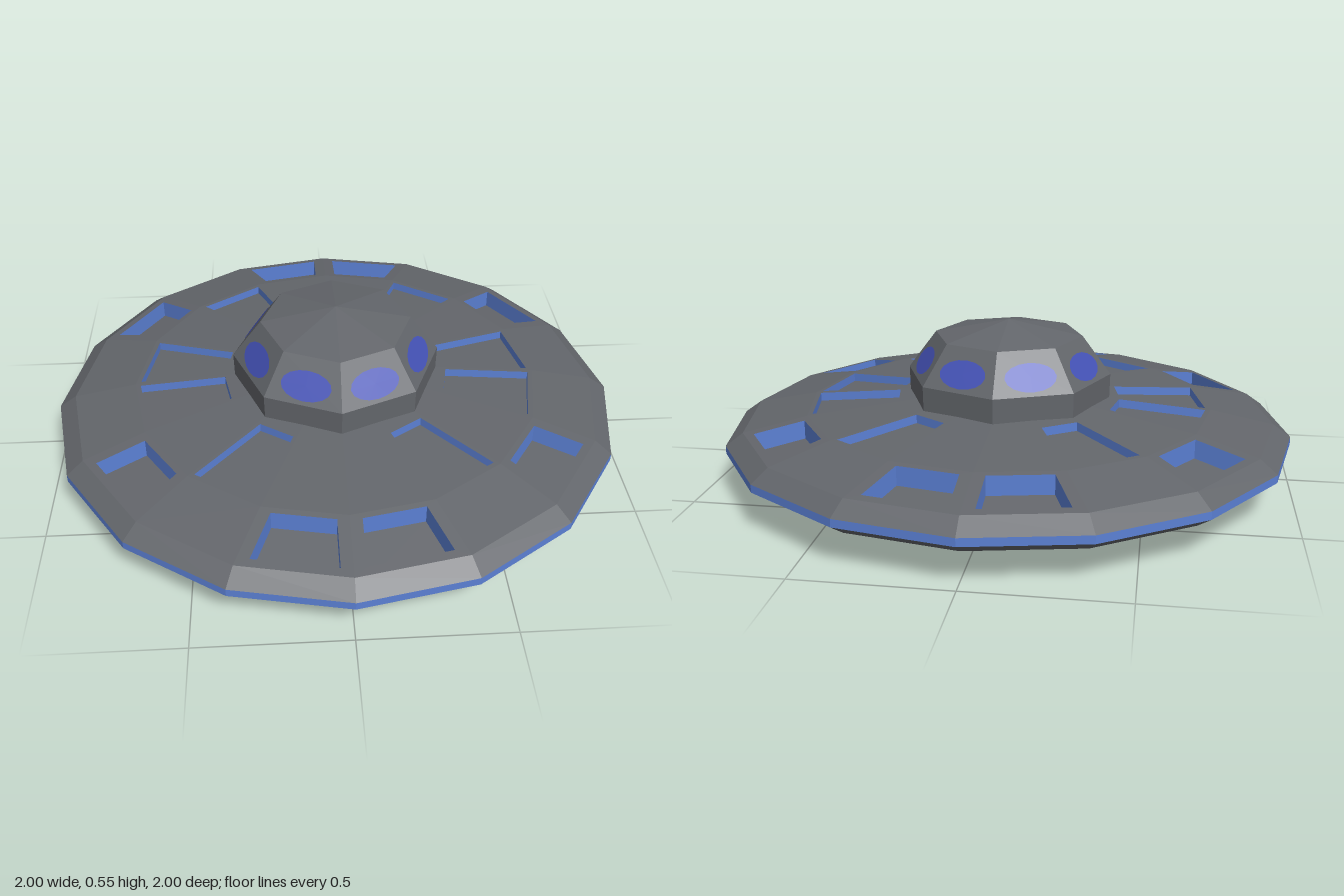
import * as THREE from 'three';

const SIDES = 16;

export function createModel() {
  const hullGrey = new THREE.MeshStandardMaterial({ color: 0x63666b });
  const trimBlue = new THREE.MeshStandardMaterial({ color: 0x5b80d4 });
  const windowBlue = new THREE.MeshStandardMaterial({ color: 0x4452b6 });
  const model = new THREE.Group();

  const add = (name, geometry, material, parent = model) => {
    const mesh = new THREE.Mesh(geometry, material);
    mesh.name = name;
    parent.add(mesh);
    return mesh;
  };

  // Faceted surface of revolution; profile runs from bottom to top
  const faceted = (profile, sides) => {
    const points = profile.map(([r, y]) => new THREE.Vector2(r, y));
    const geometry = new THREE.LatheGeometry(points, sides).toNonIndexed();
    geometry.computeVertexNormals();
    return geometry;
  };

  const quadGeometry = (quads) => {
    const positions = [];
    for (const [a, b, c, d] of quads)
      for (const p of [a, b, c, a, c, d]) positions.push(p.x, p.y, p.z);
    const geometry = new THREE.BufferGeometry();
    geometry.setAttribute('position', new THREE.Float32BufferAttribute(positions, 3));
    geometry.computeVertexNormals();
    return geometry;
  };

  // Saucer underside, rim and bevel
  add('bellyLight', faceted([[0, 0], [0.39, 0.012]], SIDES), trimBlue);
  add('lowerHull', faceted([[0.39, 0.012], [0.73, 0.047], [0.945, 0.097], [1, 0.135]], SIDES), hullGrey);
  add('rimBand', faceted([[1, 0.135], [1, 0.162]], SIDES), trimBlue);
  add('upperBevel', faceted([[1, 0.162], [0.94, 0.205]], SIDES), hullGrey);

  // Upper deck: two rings of flat panels, some with a sunken pocket
  const inner = { r0: 0.3, y0: 0.285, r1: 0.72, y1: 0.249, pocket: { r0: 0.4, r1: 0.703, inset: 0.012, depth: 0.03 } };
  const outer = { r0: 0.72, y0: 0.249, r1: 0.94, y1: 0.205, pocket: { r0: 0.74, r1: 0.912, inset: 0.04, depth: 0.065 } };

  const corner = (ring, r, k, inset, fromEnd) => {
    const y = THREE.MathUtils.mapLinear(r, ring.r0, ring.r1, ring.y0, ring.y1);
    const at = (i) => {
      const angle = (i / SIDES) * Math.PI * 2;
      return new THREE.Vector3(r * Math.cos(angle), y, r * Math.sin(angle));
    };
    const t = inset / (2 * r * Math.sin(Math.PI / SIDES));
    return at(k).lerp(at(k + 1), fromEnd ? 1 - t : t);
  };
  const outline = (ring, r0, r1, k, inset) => [
    corner(ring, r0, k, inset, false), corner(ring, r0, k, inset, true),
    corner(ring, r1, k, inset, true), corner(ring, r1, k, inset, false),
  ];

  const deck = [], floors = [], walls = [];
  for (let k = 0; k < SIDES; k++) {
    // Pocket layout is mirrored in each quadrant
    const step = Math.floor(k / 4) % 2 ? 3 - (k % 4) : k % 4;
    const pocketRing = step % 2 ? outer : inner;
    for (const ring of [inner, outer]) {
      const panel = outline(ring, ring.r0, ring.r1, k, 0);
      if (ring !== pocketRing) {
        deck.push(panel);
        continue;
      }
      const { r0, r1, inset, depth } = ring.pocket;
      const hole = outline(ring, r0, r1, k, inset);
      const floor = hole.map((p) => new THREE.Vector3(p.x, p.y - depth, p.z));
      floors.push(floor);
      for (let i = 0; i < 4; i++) {
        const j = (i + 1) % 4;
        deck.push([panel[i], panel[j], hole[j], hole[i]]);
        walls.push([hole[i], hole[j], floor[j], floor[i]]);
      }
    }
  }
  add('upperDeck', quadGeometry(deck), hullGrey);
  add('pocketFloors', quadGeometry(floors), hullGrey);
  add('pocketWalls', quadGeometry(walls), trimBlue);

  // Eight-sided cabin with a shallow pointed roof
  add('cabin', faceted([[0.362, 0.275], [0.364, 0.365], [0.263, 0.5], [0, 0.553]], 8), hullGrey);

  // One oval window on each sloping cabin face
  const apothem = Math.cos(Math.PI / 8);
  const tilt = Math.atan2((0.364 - 0.263) * apothem, 0.135);
  const windowY = 0.419;
  const windowZ = 0.364 * apothem - (windowY - 0.365) * Math.tan(tilt);
  const oval = new THREE.CircleGeometry(1, 16).scale(0.09, 0.052, 1).translate(0, 0, 0.003);
  for (let i = 0; i < 8; i++) {
    const pivot = new THREE.Group();
    pivot.name = 'cabinWindow';
    pivot.rotation.y = ((i + 0.5) * Math.PI) / 4;
    const pane = add('windowPane', oval, windowBlue, pivot);
    pane.position.set(0, windowY, windowZ);
    pane.rotation.x = -tilt;
    model.add(pivot);
  }

  return model;
}
